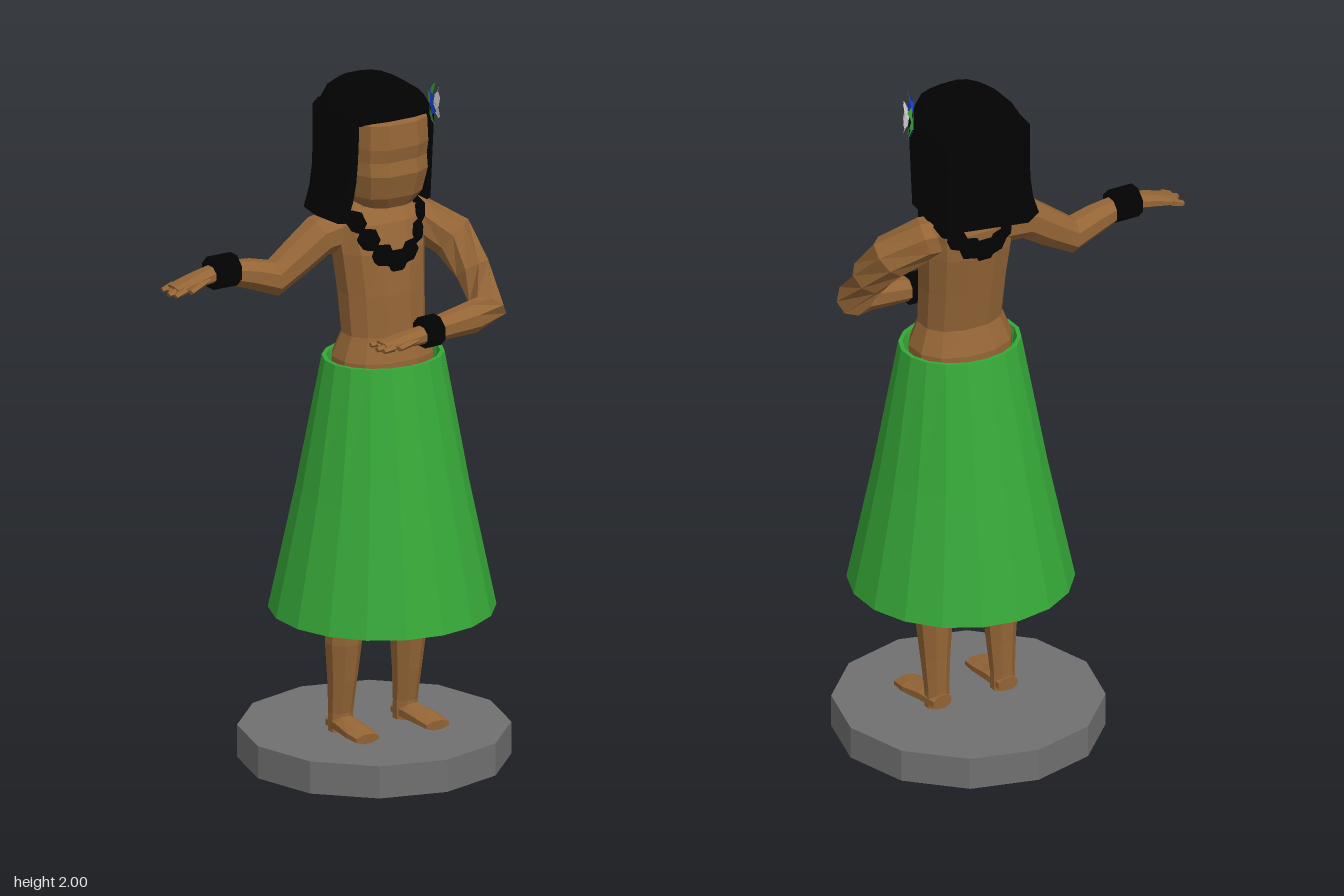
import * as THREE from 'three';

const V = (x, y, z) => new THREE.Vector3(x, y, z);
const CX = 0.152; // body axis

const mat = (name, color) => {
  const m = new THREE.MeshStandardMaterial({ color, side: THREE.DoubleSide });
  m.name = name;
  return m;
};

// faceted copy of a geometry
function flat(geo) {
  const g = geo.index ? geo.toNonIndexed() : geo;
  g.computeVertexNormals();
  return g;
}

// skin over rings of points, closed at both ends
function loft(rings) {
  const pos = [], n = rings[0].length;
  const tri = (...p) => p.forEach((q) => pos.push(q.x, q.y, q.z));
  const mid = (r) => r.reduce((s, p) => s.add(p), V(0, 0, 0)).divideScalar(n);
  const first = rings[0], last = rings[rings.length - 1];
  const a = mid(first), b = mid(last);
  for (let j = 0; j < n; j++) {
    const k = (j + 1) % n;
    for (let i = 0; i + 1 < rings.length; i++) {
      const p = rings[i], q = rings[i + 1];
      tri(p[j], q[j], p[k]);
      tri(p[k], q[j], q[k]);
    }
    tri(a, first[j], first[k]);
    tri(b, last[k], last[j]);
  }
  const g = new THREE.BufferGeometry();
  g.setAttribute('position', new THREE.Float32BufferAttribute(pos, 3));
  g.computeVertexNormals();
  return g;
}

// upright form from rows [y, x, z, radiusX, radiusZ]; power < 1 squares the section
function column(rows, sides, power = 1) {
  const bend = (c) => Math.sign(c) * Math.abs(c) ** power;
  return loft(rows.map(([y, x, z, rx, rz]) => Array.from({ length: sides }, (_, j) => {
    const a = ((j + 0.5) / sides) * Math.PI * 2;
    return V(x + rx * bend(Math.cos(a)), y, z + rz * bend(Math.sin(a)));
  })));
}

// limb along rows [x, y, z, sideways radius, vertical radius]
function limb(rows, sides = 8) {
  const c = rows.map((r) => V(r[0], r[1], r[2]));
  return loft(rows.map((r, i) => {
    const w = V(0, 0, 0);
    if (i > 0) w.add(c[i].clone().sub(c[i - 1]).normalize());
    if (i < c.length - 1) w.add(c[i + 1].clone().sub(c[i]).normalize());
    w.normalize();
    const u = w.clone().cross(V(0, 1, 0)).normalize();
    const v = u.clone().cross(w);
    return Array.from({ length: sides }, (_, j) => {
      const a = ((j + 0.5) / sides) * Math.PI * 2;
      return c[i].clone().addScaledVector(u, r[3] * Math.cos(a)).addScaledVector(v, r[4] * Math.sin(a));
    });
  }));
}

export function createModel() {
  const model = new THREE.Group();
  const skin = mat('skin', 0x946536);
  const green = mat('skirt green', 0x36a838);
  const black = mat('black', 0x020202);
  const grey = mat('base grey', 0x707070);
  const white = mat('petal white', 0xdadada);
  const blue = mat('flower blue', 0x1c48e0);

  const add = (name, geo, material, parent = model) => {
    const m = new THREE.Mesh(geo, material);
    m.name = name;
    parent.add(m);
    return m;
  };

  // stand
  add('base', flat(new THREE.CylinderGeometry(0.385, 0.385, 0.095, 12)), grey).position.set(CX, 0.0475, 0);

  // legs and feet
  for (const [side, x, out] of [['right', 0.043, -0.004], ['left', 0.257, 0.014]]) {
    add(side + 'Leg', column([
      [0.095, x, -0.004, 0.037, 0.031], [0.15, x, -0.003, 0.037, 0.03],
      [0.25, x, 0.006, 0.044, 0.04], [0.36, x, 0.012, 0.054, 0.05],
      [0.42, x, 0.014, 0.05, 0.05], [0.6, x, 0.016, 0.06, 0.056],
    ], 8), skin);
    add(side + 'Foot', limb([
      [x, 0.115, -0.034, 0.033, 0.023], [x + out * 0.4, 0.118, 0.03, 0.04, 0.026],
      [x + out, 0.113, 0.1, 0.045, 0.02], [x + out, 0.109, 0.146, 0.04, 0.015],
    ]), skin);
  }

  // skirt with turned-in hem and waistband
  add('skirt', column([
    [0.5, CX, 0.042, 0.245, 0.245], [0.456, CX, 0.042, 0.3, 0.3],
    [0.456, CX, 0.042, 0.321, 0.321], [0.82, CX, 0.044, 0.245, 0.242],
    [1.205, CX, 0.047, 0.179, 0.155], [1.205, CX, 0.047, 0.167, 0.143],
    [1.16, CX, 0.047, 0.16, 0.135],
  ], 18), green);

  // torso and neck
  add('torso', column([
    [1.15, CX, 0.045, 0.153, 0.12], [1.21, CX, 0.045, 0.153, 0.118],
    [1.28, CX, 0.048, 0.126, 0.092], [1.4, CX, 0.035, 0.13, 0.099],
    [1.52, CX, 0.02, 0.14, 0.103], [1.6, CX, 0.005, 0.147, 0.09],
    [1.645, CX, -0.005, 0.108, 0.062], [1.66, CX, 0.01, 0.055, 0.05], [1.74, CX, 0.02, 0.05, 0.05],
  ], 12, 0.9), skin);

  // head with brow and cheek bands
  add('head', column([
    [1.655, CX, 0.035, 0.078, 0.085], [1.69, CX, 0.025, 0.108, 0.118],
    [1.76, CX, 0.03, 0.12, 0.132], [1.8, CX, 0.03, 0.12, 0.124],
    [1.84, CX, 0.03, 0.122, 0.132], [1.91, CX, 0.03, 0.12, 0.127], [1.95, CX, 0.02, 0.1, 0.11],
  ], 12, 0.7), skin);

  // hair: crown, then a curtain open at the face
  add('hairCrown', column([
    [1.905, CX, -0.01, 0.143, 0.142], [1.93, CX, 0.002, 0.137, 0.156],
    [1.965, CX, 0.003, 0.116, 0.144], [1.99, CX, 0, 0.08, 0.112], [2, CX, 0, 0.04, 0.06],
  ], 16, 0.7), black);
  const half = [[0.119, 0.05], [0.119, 0.111], [0.137, 0.1], [0.146, 0], [0.135, -0.11], [0.09, -0.152]];
  const plan = [[0.08, -0.08], ...half, ...half.map(([x, z]) => [-x, z]).reverse(), [-0.08, -0.08]];
  const curtain = new THREE.ExtrudeGeometry(
    new THREE.Shape(plan.map(([x, z]) => new THREE.Vector2(x, -z))),
    { depth: 0.295, steps: 5, bevelEnabled: false });
  curtain.rotateX(-Math.PI / 2);
  const hp = curtain.attributes.position;
  for (let i = 0; i < hp.count; i++) {
    const x = hp.getX(i), z = hp.getZ(i), t = 1 - hp.getY(i) / 0.295;
    hp.setX(i, CX + x * (x < 0 ? 1 + 0.27 * t ** 4 : 1 - 0.03 * t));
    hp.setY(i, hp.getY(i) + 1.625 + (x > 0 ? 0.025 * t : 0));
    hp.setZ(i, z < 0 ? z * (1 - 0.1 * t ** 2) : z - 0.015 * t);
  }
  add('hairCurtain', flat(curtain), black);

  // arms, bracelets
  add('rightArm', limb([
    [0.07, 1.58, -0.01, 0.06, 0.064], [-0.03, 1.566, -0.005, 0.058, 0.061],
    [-0.1, 1.518, -0.005, 0.052, 0.056], [-0.18, 1.469, -0.004, 0.048, 0.054],
    [-0.26, 1.496, -0.003, 0.042, 0.044], [-0.37, 1.522, 0, 0.03, 0.031],
  ]), skin);
  add('rightBracelet', limb([[-0.312, 1.52, -0.002, 0.047, 0.048], [-0.39, 1.52, -0.002, 0.047, 0.048]]), black);
  add('leftArm', limb([
    [0.2, 1.578, -0.01, 0.055, 0.06], [0.285, 1.573, 0.015, 0.058, 0.064],
    [0.37, 1.515, 0.065, 0.06, 0.066], [0.397, 1.43, 0.13, 0.052, 0.057],
    [0.403, 1.335, 0.2, 0.054, 0.056], [0.34, 1.322, 0.214, 0.045, 0.046],
    [0.19, 1.303, 0.212, 0.033, 0.033],
  ]), skin);
  add('leftBracelet', limb([[0.228, 1.306, 0.212, 0.047, 0.045], [0.175, 1.304, 0.212, 0.047, 0.045]]), black);

  // hands reach toward -x: broad palm, four short fingers and a thumb
  const hand = (name, x, y, z, drop) => {
    const g = new THREE.Group();
    g.name = name;
    g.position.set(x, y, z);
    model.add(g);
    add('palm', limb([
      [0.02, 0, 0, 0.03, 0.027], [-0.05, -0.3 * drop, 0, 0.04, 0.021], [-0.128, -0.8 * drop, 0, 0.041, 0.012],
    ]), skin, g);
    for (let i = 0; i < 4; i++) {
      const fz = -0.029 + i * 0.02;
      add('finger', limb([
        [-0.11, -0.7 * drop, fz, 0.014, 0.012], [-0.152 + 0.008 * ((i + 1) % 3), -drop, fz * 1.15, 0.01, 0.007],
      ], 5), skin, g);
    }
    add('thumb', limb([
      [-0.03, -0.2 * drop, 0.022, 0.016, 0.014], [-0.1, -0.8 * drop, 0.046, 0.01, 0.008],
    ], 5), skin, g);
  };
  hand('rightHand', -0.385, 1.522, 0, 0.036);
  hand('leftHand', 0.17, 1.3, 0.215, 0.014);

  // garland of flat beads around the neck
  const garland = new THREE.Group();
  garland.name = 'garland';
  model.add(garland);
  const bead = flat(new THREE.IcosahedronGeometry(0.038, 0));
  for (let i = 0; i < 16; i++) {
    const a = (i / 16) * Math.PI * 2, c = Math.cos(a), reach = Math.abs(c) ** 0.6;
    const m = add('bead', bead, black, garland);
    m.position.set(CX + 0.115 * Math.sin(a), 1.635 - (c > 0 ? 0.138 : 0.085) * c * c,
      0.01 + (c > 0 ? 0.112 : -0.1) * reach);
    m.rotation.y = a;
    m.scale.z = 0.42;
  }

  // flower above the left ear: white petals over green and blue leaves
  const flower = new THREE.Group();
  flower.name = 'flower';
  flower.position.set(0.286, 1.928, 0.085);
  flower.rotation.y = Math.PI / 3;
  model.add(flower);
  const petal = new THREE.CircleGeometry(0.026, 6);
  const leaf = new THREE.CircleGeometry(0.03, 3);
  for (let i = 0; i < 10; i++) {
    const a = (i / 10) * Math.PI * 2;
    const l = add('leaf', leaf, [2, 4, 5, 8].includes(i) ? blue : green, flower);
    l.position.set(0.047 * Math.cos(a), 0.045 * Math.sin(a), 0.004 * (i % 2));
    l.rotation.set(0.3 * Math.sin(a), -0.3 * Math.cos(a), a);
    if (i % 2) continue;
    const p = add('petal', petal, white, flower);
    p.position.set(0.024 * Math.cos(a), 0.024 * Math.sin(a), 0.016);
    p.rotation.set(0.35 * Math.sin(a), -0.35 * Math.cos(a), a);
  }
  return model;
}
